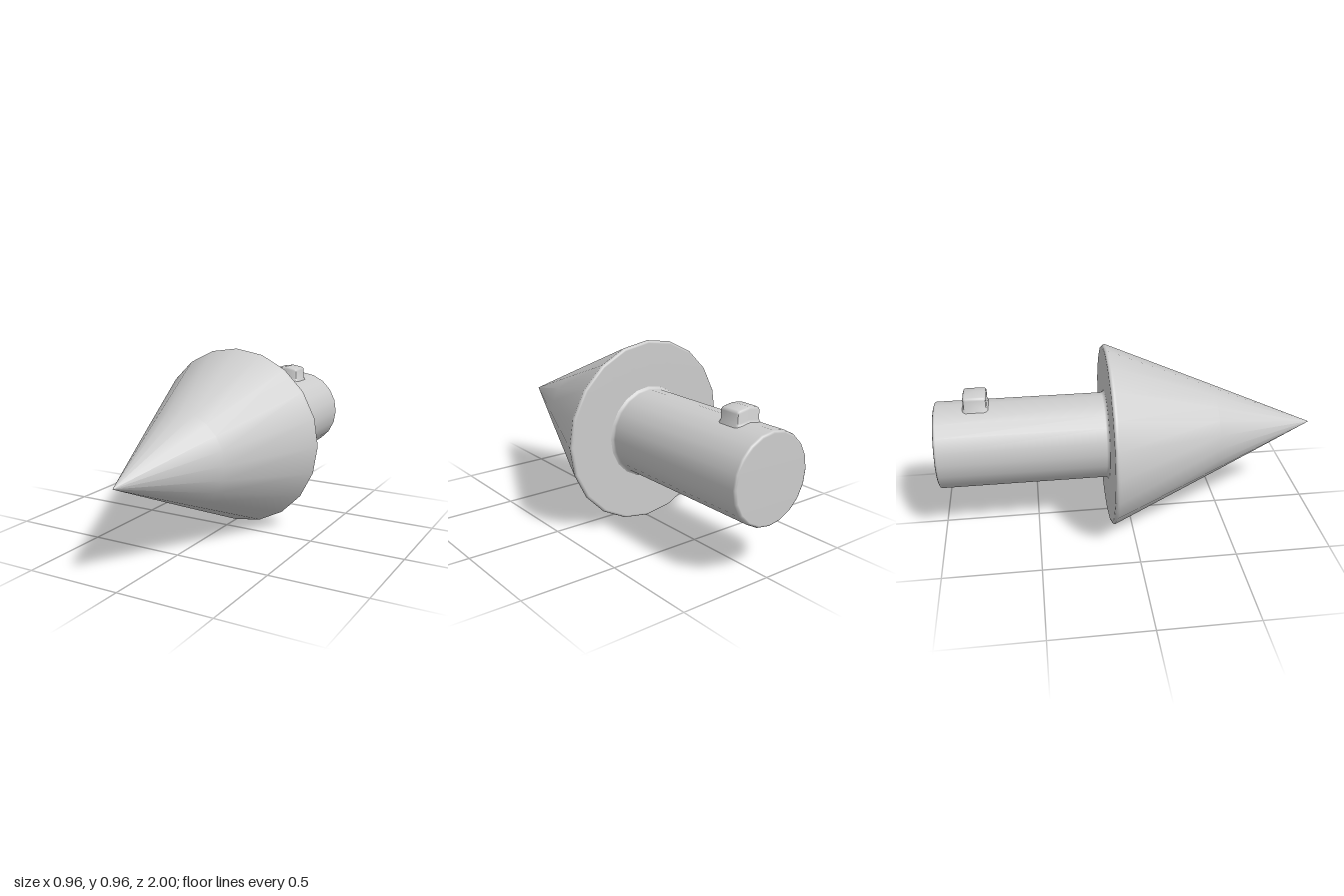
import * as THREE from 'three';
import { toCreasedNormals } from 'three/addons/utils/BufferGeometryUtils.js';

const SIDES = 20;
const AXIS_Y = 0.481;      // height of the long axis
const SHAFT_R = 0.227;
const material = new THREE.MeshStandardMaterial({ color: 0xcccccc });

// Turns a [radius, z] profile, listed back to front, around the z axis.
function turned(name, profile) {
  const geometry = new THREE.LatheGeometry(profile.map(([r, z]) => new THREE.Vector2(r, z)), SIDES);
  geometry.rotateX(Math.PI / 2);
  const mesh = new THREE.Mesh(geometry, material);
  mesh.name = name;
  mesh.position.y = AXIS_Y;
  return mesh;
}

// Rounded rectangle in x and z, with a point on the ridge line at each end.
function lugOutline(halfW, halfD, radius) {
  const points = [];
  const corners = [[1, 1], [1, -1], [-1, -1], [-1, 1]];
  corners.forEach(([sx, sz], i) => {
    for (let k = 0; k <= 2; k++) {
      const a = Math.PI / 2 - (i + k / 2) * Math.PI / 2;
      points.push([
        sx * (halfW - radius) + radius * Math.cos(a),
        sz * (halfD - radius) + radius * Math.sin(a),
      ]);
    }
    if (i === 1) points.push([0, -halfD]);
    if (i === 3) points.push([0, halfD]);
  });
  return points;
}

// Lug lofted upwards from the two top facets of the shaft: flared foot, rounded top edge.
function lugGeometry() {
  const layers = [[0.012, -0.008], [0.004, 0.003], [0, 0.012], [0, 0.058], [-0.004, 0.067], [-0.012, 0.071]];
  const slope = Math.tan(Math.PI / SIDES);
  const positions = [];
  const index = [];
  let count = 0;
  for (const [grow, height] of layers) {
    const ring = lugOutline(0.07 + grow, 0.059 + grow, 0.014 + grow * 0.6);
    count = ring.length;
    for (const [x, z] of ring) positions.push(x, height - Math.abs(x) * slope, z);
  }
  for (let j = 0; j < layers.length - 1; j++) {
    for (let i = 0; i < count; i++) {
      const a = j * count + i;
      const b = j * count + (i + 1) % count;
      index.push(a, a + count, b, b, a + count, b + count);
    }
  }
  // Ridged cap
  const centre = positions.length / 3;
  const last = (layers.length - 1) * count;
  positions.push(0, layers[layers.length - 1][1], 0);
  for (let i = 0; i < count; i++) index.push(centre, last + (i + 1) % count, last + i);

  const geometry = new THREE.BufferGeometry();
  geometry.setAttribute('position', new THREE.Float32BufferAttribute(positions, 3));
  // The outline runs clockwise seen from above, so flip each triangle outwards.
  for (let i = 0; i < index.length; i += 3) {
    if (!isOutward(positions, index.slice(i, i + 3))) [index[i + 1], index[i + 2]] = [index[i + 2], index[i + 1]];
  }
  geometry.setIndex(index);
  return toCreasedNormals(geometry, 0.7);
}

// Tests whether a triangle faces away from the middle of the lug.
function isOutward(positions, triangle) {
  const [a, b, c] = triangle.map((i) => new THREE.Vector3().fromArray(positions, i * 3));
  const normal = b.clone().sub(a).cross(c.clone().sub(a));
  return normal.dot(a.add(b).add(c).divideScalar(3).sub(new THREE.Vector3(0, 0.03, 0))) > 0;
}

export function createModel() {
  const model = new THREE.Group();
  model.name = 'coneTip';

  // Pointed head with a softened rear rim and a flat back
  model.add(turned('coneHead', [
    [SHAFT_R - 0.02, -0.12], [0.466, -0.12], [0.474, -0.118], [0.478, -0.113], [0.48, -0.105],
    [0.476, -0.096], [0.24, 0.45], [0, 1],
  ]));

  // Shaft with a rounded end and a small fillet against the head
  model.add(turned('shaft', [
    [0, -1], [SHAFT_R - 0.013, -1], [SHAFT_R - 0.004, -0.996], [SHAFT_R, -0.987],
    [SHAFT_R, -0.136], [SHAFT_R + 0.004, -0.126], [SHAFT_R + 0.014, -0.12],
  ]));

  // Locating lug on top of the shaft
  const lug = new THREE.Mesh(lugGeometry(), material);
  lug.name = 'lug';
  lug.position.set(0, AXIS_Y + SHAFT_R, -0.786);
  model.add(lug);

  return model;
}
